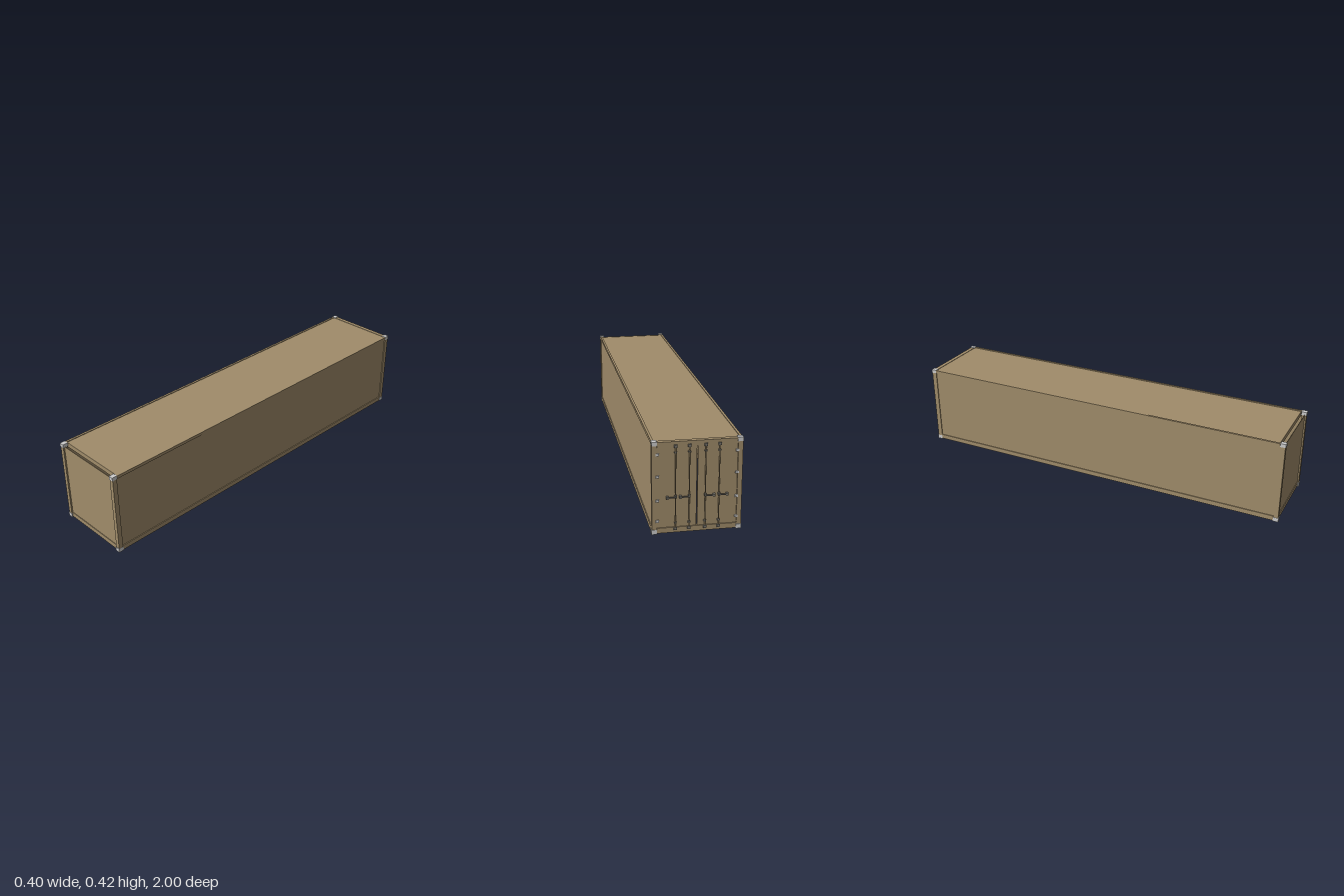
import * as THREE from 'three';

export function createModel() {
  const root = new THREE.Group();
  root.name = 'shippingContainer';
  const paint = new THREE.MeshStandardMaterial({ color: 0xa08c6a, side: THREE.DoubleSide });
  const grey = new THREE.MeshStandardMaterial({ color: 0xcccccc });
  const steel = new THREE.MeshStandardMaterial({ color: 0x77746c });

  // Box given by its lower and upper corners
  function box(name, mat, x0, x1, y0, y1, z0, z1, parent = root) {
    const mesh = new THREE.Mesh(new THREE.BoxGeometry(x1 - x0, y1 - y0, z1 - z0), mat);
    mesh.position.set((x0 + x1) / 2, (y0 + y1) / 2, (z0 + z1) / 2);
    mesh.name = name;
    parent.add(mesh);
    return mesh;
  }
  // The same box on both sides of x = 0
  function pair(name, mat, x0, x1, ...rest) {
    box(name + 'Left', mat, x0, x1, ...rest);
    box(name + 'Right', mat, -x1, -x0, ...rest);
  }

  // Corner castings
  for (const [z0, z1] of [[0.973, 1], [-0.99, -0.963]]) {
    pair('lowerCasting', grey, 0.174, 0.198, 0, 0.021, z0, z1);
    pair('upperCasting', grey, 0.174, 0.198, 0.405, 0.423, z0, z1);
  }

  // Corner posts
  pair('frontPost', paint, 0.176, 0.197, 0.021, 0.405, 0.975, 0.998);
  pair('backPost', paint, 0.176, 0.197, 0.021, 0.405, -0.988, -0.963);

  // Side walls, rails and roof; the underside stays open
  pair('sideWall', paint, 0.189, 0.193, 0.02, 0.412, -0.964, 0.976);
  pair('bottomRail', paint, 0.187, 0.197, 0.003, 0.027, -0.964, 0.974);
  pair('topRail', paint, 0.186, 0.197, 0.406, 0.421, -0.964, 0.972);
  box('roof', paint, -0.188, 0.188, 0.414, 0.418, -0.966, 0.97);

  // Front end: recessed header, panel and sill
  box('frontHeader', paint, -0.188, 0.188, 0.396, 0.42, 0.966, 0.97);
  box('frontPanel', paint, -0.177, 0.177, 0.02, 0.408, 0.988, 0.991);
  box('frontSill', paint, -0.176, 0.176, 0.003, 0.027, 0.988, 0.994);

  // Door frame
  box('backHeader', paint, -0.175, 0.175, 0.396, 0.42, -0.987, -0.966);
  box('backSill', paint, -0.175, 0.175, 0.003, 0.027, -0.987, -0.966);

  // Two doors, each with hinges and two locking rods
  for (const s of [1, -1]) {
    const door = new THREE.Group();
    door.name = s > 0 ? 'leftDoor' : 'rightDoor';
    root.add(door);
    const part = (name, mat, x, w, y, h, z, d) =>
      box(name, mat, s * x - w / 2, s * x + w / 2, y - h / 2, y + h / 2, z - d / 2, z + d / 2, door);

    part('doorPanel', paint, 0.0885, 0.173, 0.2115, 0.367, -0.98, 0.008);
    for (const y of [0.06, 0.155, 0.265, 0.365]) part('hinge', grey, 0.173, 0.014, y, 0.01, -0.987, 0.006);

    for (const x of [0.035, 0.095]) {
      const rod = new THREE.Mesh(new THREE.CylinderGeometry(0.0025, 0.0025, 0.376, 10), paint);
      rod.name = 'lockingRod';
      rod.position.set(s * x, 0.211, -0.99);
      door.add(rod);
      // Cam keepers at the rod ends, guides along the rod
      for (const y of [0.022, 0.4]) part('camKeeper', steel, x, 0.014, y, 0.012, -0.99, 0.008);
      for (const y of [0.05, 0.372]) part('rodGuide', steel, x, 0.011, y, 0.006, -0.989, 0.01);
      // Handle with its hub and latch
      part('handleHub', steel, x, 0.009, 0.172, 0.012, -0.992, 0.012);
      const grip = x + (x < 0.06 ? 0.022 : 0.019);
      part('handle', steel, grip, 0.04, 0.17, 0.005, -0.9975, 0.005);
      part('handleLatch', steel, grip + 0.016, 0.01, 0.168, 0.012, -0.99, 0.012);
    }
  }
  return root;
}
